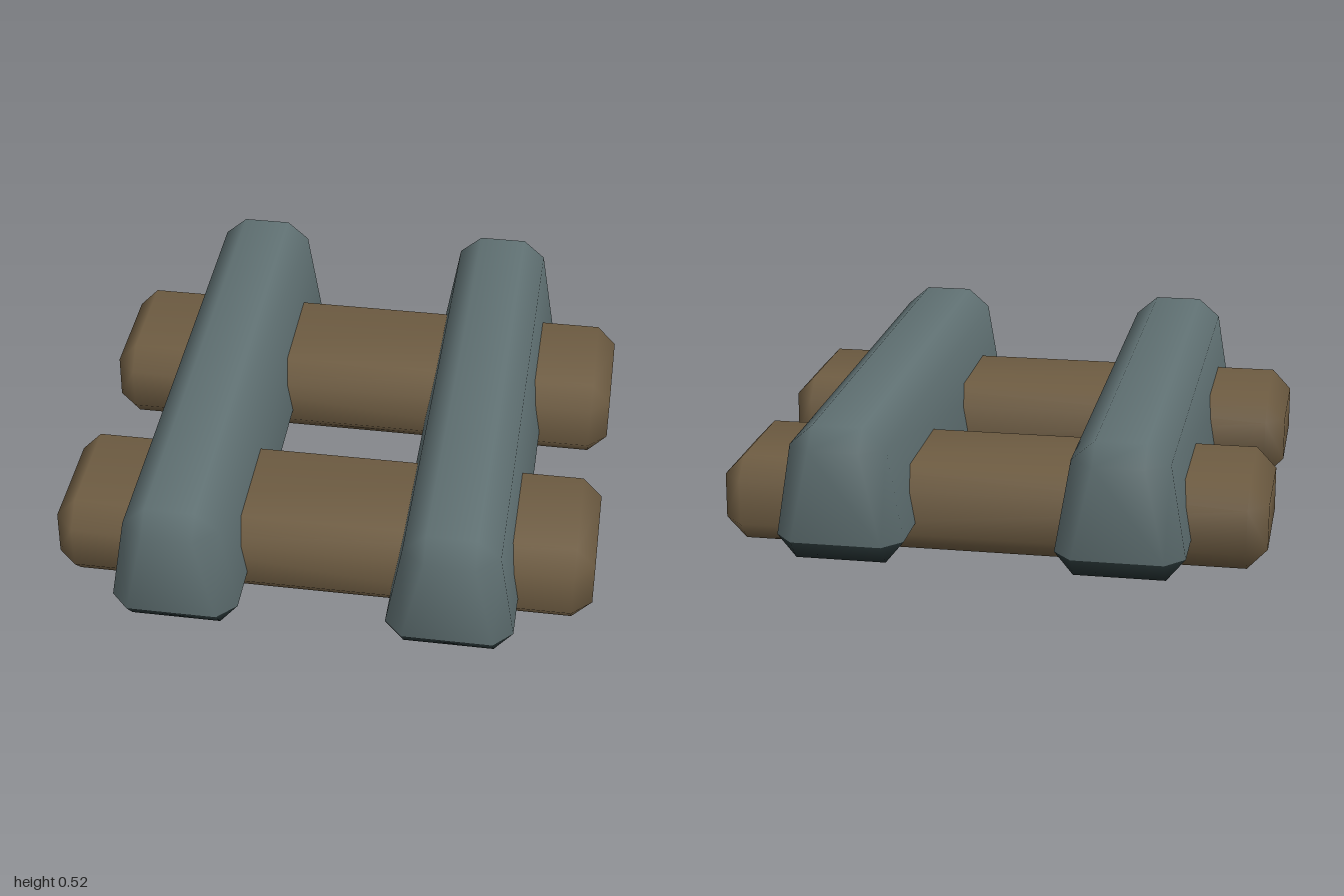
import * as THREE from 'three';
import { ConvexGeometry } from 'three/addons/geometries/ConvexGeometry.js';
import { mergeVertices } from 'three/addons/utils/BufferGeometryUtils.js';

// Bevelled bar along z, given by its lower and upper level:
// { y: cap height, side: where the side wall starts, w: half width there, inset: bevel }
function bevelledBar(lower, upper, halfLength, endBevel) {
  const points = [];
  for (const { y, side, w, inset } of [lower, upper]) {
    for (const sx of [-1, 1]) {
      for (const sz of [-1, 1]) {
        points.push(
          new THREE.Vector3(sx * w, side, sz * (halfLength - endBevel)),
          new THREE.Vector3(sx * (w - inset), y, sz * (halfLength - endBevel)),
          new THREE.Vector3(sx * (w - inset), side, sz * halfLength)
        );
      }
    }
  }
  // Shared vertices give soft shading across the bevels
  let geometry = new ConvexGeometry(points);
  geometry.deleteAttribute('normal');
  geometry = mergeVertices(geometry, 1e-4);
  geometry.computeVertexNormals();
  return geometry;
}

// Sort triangles into two groups: 0 above the given height, 1 at or below it
function splitAtHeight(geometry, height) {
  const pos = geometry.attributes.position;
  const index = geometry.index.array;
  const above = [], below = [];
  for (let i = 0; i < index.length; i += 3) {
    const tri = [index[i], index[i + 1], index[i + 2]];
    const low = tri.every((v) => pos.getY(v) <= height + 1e-3);
    (low ? below : above).push(...tri);
  }
  geometry.setIndex([...above, ...below]);
  geometry.addGroup(0, above.length, 0);
  geometry.addGroup(above.length, below.length, 1);
  return geometry;
}

export function createModel() {
  const model = new THREE.Group();
  model.name = 'crossedBeams';

  const brown = new THREE.MeshStandardMaterial({ color: 0x6e5c42 });
  brown.name = 'brown wood';
  const slate = new THREE.MeshStandardMaterial({ color: 0x617274 });
  slate.name = 'slate grey';
  const dark = new THREE.MeshStandardMaterial({ color: 0x243031 });
  dark.name = 'dark slate';

  // Two lower beams running left to right
  const beamGeometry = bevelledBar(
    { y: 0, side: 0.075, w: 0.27, inset: 0.07 },
    { y: 0.31, side: 0.235, w: 0.27, inset: 0.075 },
    0.96, 0.07
  ).rotateY(Math.PI / 2);
  for (const s of [-1, 1]) {
    const beam = new THREE.Mesh(beamGeometry, brown);
    beam.name = s > 0 ? 'frontCrossBeam' : 'backCrossBeam';
    beam.position.z = s * 0.48;
    model.add(beam);
  }

  // Two tapered rails running front to back, with dark undersides
  const railGeometry = splitAtHeight(bevelledBar(
    { y: 0.04, side: 0.12, w: 0.222, inset: 0.065 },
    { y: 0.52, side: 0.45, w: 0.167, inset: 0.08 },
    1, 0.07
  ), 0.12);
  for (const s of [-1, 1]) {
    const rail = new THREE.Mesh(railGeometry, [slate, dark]);
    rail.name = s > 0 ? 'leftRail' : 'rightRail';
    rail.position.x = s * 0.48;
    model.add(rail);
  }

  return model;
}
